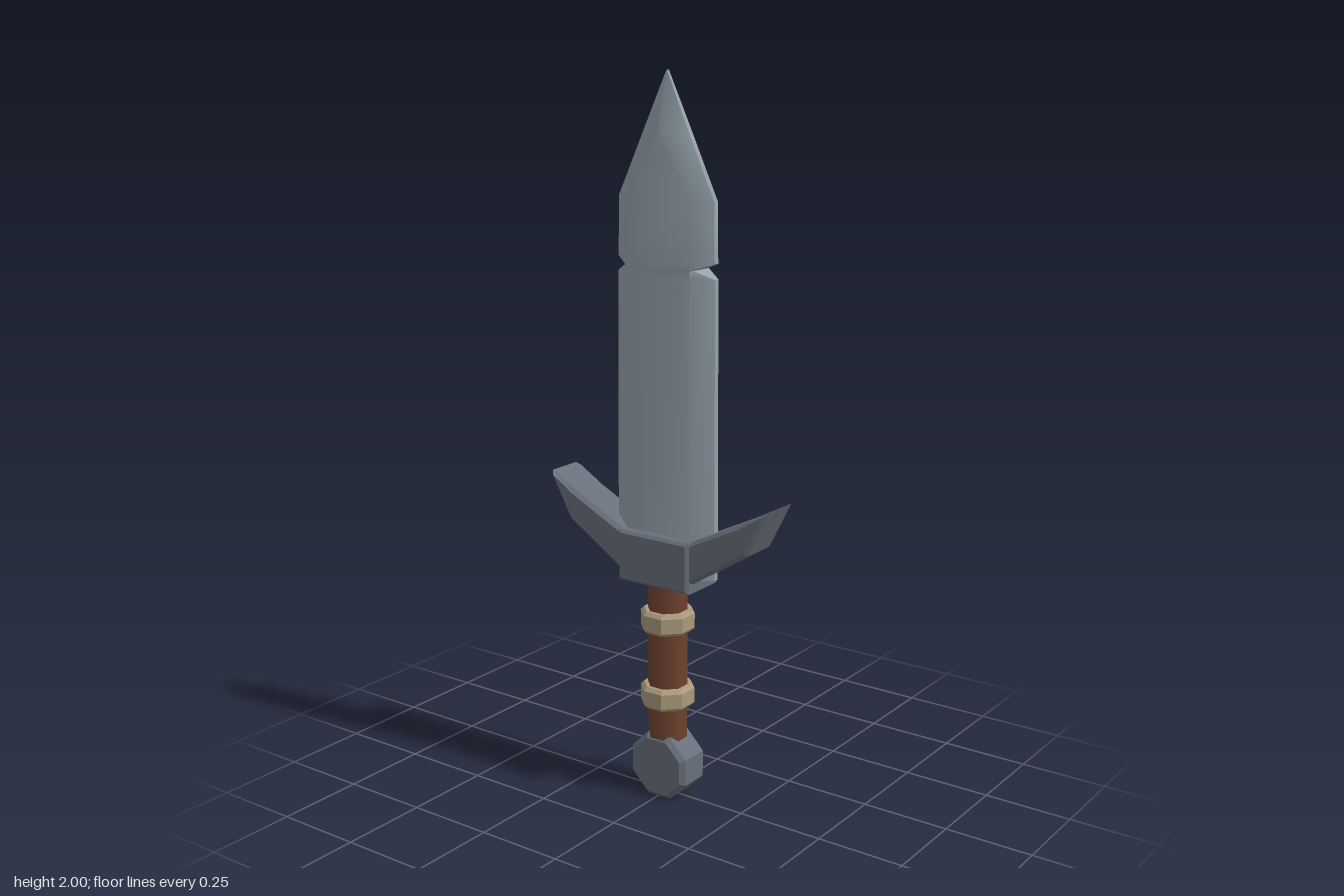
import * as THREE from 'three';
import { toCreasedNormals } from 'three/addons/utils/BufferGeometryUtils.js';

const mat = (name, color, side = THREE.FrontSide) => {
  const m = new THREE.MeshStandardMaterial({ color, side });
  m.name = name;
  return m;
};

function add(group, name, geometry, material) {
  const mesh = new THREE.Mesh(geometry, material);
  mesh.name = name;
  group.add(mesh);
  return mesh;
}

// Prism of a front outline, centred on z = 0, with one chamfer kept inside the outline
function bevelled(points, halfDepth, size, thickness = size) {
  const shape = new THREE.Shape(points.map(([x, y]) => new THREE.Vector2(x, y)));
  const g = new THREE.ExtrudeGeometry(shape, {
    depth: 2 * (halfDepth - thickness), bevelEnabled: true, bevelSegments: 1,
    bevelSize: size, bevelOffset: -size, bevelThickness: thickness,
  });
  g.translate(0, 0, -(halfDepth - thickness));
  return g;
}

// Blade lofted through eight-cornered sections:
// [y, right edge x, left edge x, edge half-thickness, flat half-width, flat half-thickness]
function bladeGeometry() {
  const rows = [
    [0.66, 0.161, 0.163, 0.008, 0.1, 0.043],
    [1.475, 0.156, 0.157, 0.008, 0.1, 0.043],
    [1.497, 0.106, 0.114, 0.034, 0.1, 0.043], // notches
    [1.515, 0.155, 0.156, 0.008, 0.1, 0.043],
    [1.675, 0.152, 0.153, 0.008, 0.1, 0.043],
    [1.85, 0.07, 0.07, 0.008, 0.001, 0.043],
    [2.0, 0.001, 0.001, 0.004, 0.0005, 0.004],
  ];
  const pos = [], idx = [];
  for (const [y, r, l, e, f, t] of rows) {
    const ring = [[r, e], [f, t], [-f, t], [-l, e], [-l, -e], [-f, -t], [f, -t], [r, -e]];
    for (const [x, z] of ring) pos.push(x, y, z);
  }
  for (let k = 0; k < rows.length - 1; k++) {
    for (let i = 0; i < 8; i++) {
      const a = k * 8 + i, b = k * 8 + (i + 1) % 8;
      idx.push(a, a + 8, b, b, a + 8, b + 8);
    }
  }
  const last = (rows.length - 1) * 8;
  for (let i = 1; i < 7; i++) {
    idx.push(0, i, i + 1);
    idx.push(last, last + i + 1, last + i);
  }
  const g = new THREE.BufferGeometry();
  g.setAttribute('position', new THREE.Float32BufferAttribute(pos, 3));
  g.setIndex(idx);
  return toCreasedNormals(g, 0.65);
}

export function createModel() {
  const sword = new THREE.Group();
  sword.name = 'sword';
  const steel = mat('blade steel', 0x94a2ab);
  const iron = mat('dark iron', 0x69707b);
  const leather = mat('brown leather', 0x6e422f);
  const cord = mat('tan binding', 0xab9a7d);

  add(sword, 'blade', bladeGeometry(), steel);

  // Guard: centre block and two swept wings
  const guard = new THREE.Group();
  guard.name = 'guard';
  sword.add(guard);
  add(guard, 'guardBlock',
    bevelled([[-0.117, 0.628], [0.117, 0.628], [0.117, 0.772], [-0.117, 0.772]], 0.073, 0.008), iron);
  const wing = [[0.08, 0.635], [0.116, 0.653], [0.296, 0.768], [0.361, 0.898], [0.265, 0.846], [0.116, 0.773], [0.08, 0.755]];
  add(guard, 'leftWing', bevelled(wing, 0.064, 0.01, 0.012), iron);
  add(guard, 'rightWing', bevelled(wing.map(([x, y]) => [-x, y]).reverse(), 0.064, 0.01, 0.012), iron);

  // Eight-sided grip with flats facing front and sides
  const corner = 1 / Math.cos(Math.PI / 8);
  const grip = new THREE.CylinderGeometry(0.052 * corner, 0.052 * corner, 0.51, 8, 1, false, Math.PI / 8);
  grip.translate(0, 0.385, 0);
  add(sword, 'grip', grip, leather);

  // Chamfered binding rings
  for (const [name, y] of [['upperBinding', 0.518], ['lowerBinding', 0.297]]) {
    const profile = [[0.045, -0.031], [0.062, -0.031], [0.071, -0.021], [0.071, 0.021], [0.062, 0.031], [0.045, 0.031]]
      .map(([r, h]) => new THREE.Vector2(r * corner, h));
    const ring = toCreasedNormals(new THREE.LatheGeometry(profile, 8, Math.PI / 8), 0.5);
    ring.translate(0, y, 0);
    add(sword, name, ring, cord);
  }

  // Octagonal pommel facing front
  const octagon = Array.from({ length: 8 }, (_, i) => {
    const a = (i + 0.5) * Math.PI / 4;
    return [0.092 * corner * Math.cos(a), 0.092 + 0.092 * corner * Math.sin(a)];
  });
  add(sword, 'pommel', bevelled(octagon, 0.055, 0.013), iron);

  return sword;
}
